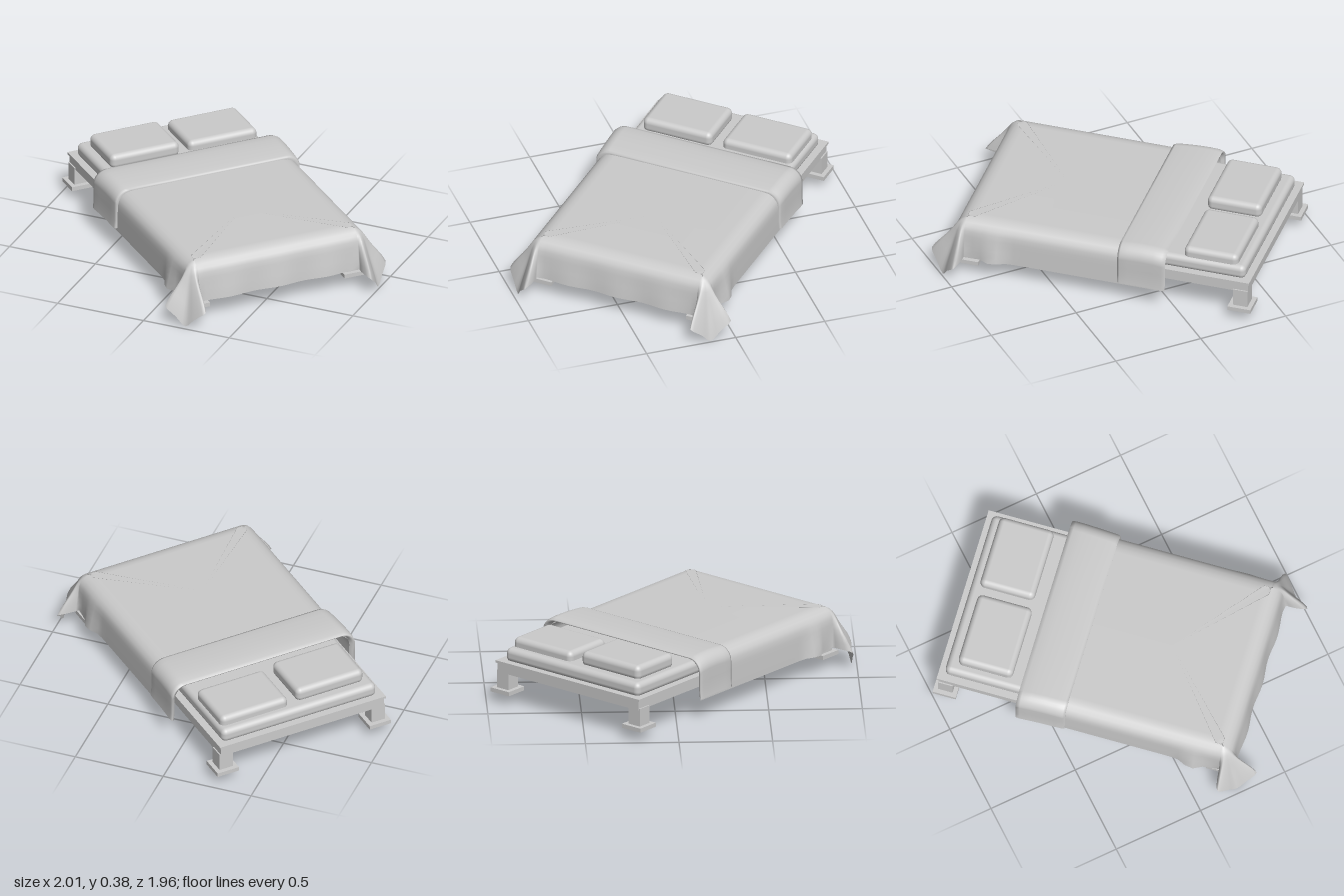
import * as THREE from 'three';
import { RoundedBoxGeometry } from 'three/addons/geometries/RoundedBoxGeometry.js';

const grey = new THREE.MeshStandardMaterial({ color: 0xcccccc });
const cloth = new THREE.MeshStandardMaterial({ color: 0xcccccc, side: THREE.DoubleSide });

// Box given by its limits; a radius makes it rounded
function box(name, [x0, x1], [y0, y1], [z0, z1], radius = 0) {
  const size = [x1 - x0, y1 - y0, z1 - z0];
  const geo = radius ? new RoundedBoxGeometry(...size, 4, radius) : new THREE.BoxGeometry(...size);
  const mesh = new THREE.Mesh(geo, grey);
  mesh.position.set((x0 + x1) / 2, (y0 + y1) / 2, (z0 + z1) / 2);
  mesh.name = name;
  return mesh;
}

// Smooth sheet through rows of points
function sheet(name, rows) {
  const n = rows[0].length, index = [];
  for (let i = 0; i < rows.length - 1; i++) {
    for (let j = 0; j < n - 1; j++) {
      const p = i * n + j;
      index.push(p, p + 1, p + n, p + 1, p + n + 1, p + n);
    }
  }
  const geo = new THREE.BufferGeometry().setFromPoints(rows.flat());
  geo.setIndex(index);
  geo.computeVertexNormals();
  const mesh = new THREE.Mesh(geo, cloth);
  mesh.name = name;
  return mesh;
}

// Blanket: a drop profile swept around both sides and the foot, with gathered corners
function blanket() {
  const head = -0.39, foot = 0.775, half = 0.525, r = 0.06, hemY = 0.11;
  const bump = (v, c, s) => Math.exp(-(((v - c) / s) ** 2));
  // Hem offset around a corner: along the edge, vertical, outwards
  const gather = new THREE.CatmullRomCurve3([
    [0, 0, 0], [-0.05, 0, 0.035], [-0.09, -0.01, 0.085], [-0.04, -0.06, 0.085], [0, -0.11, 0.08],
    [0.04, -0.06, 0.085], [0.09, -0.01, 0.085], [0.05, 0, 0.035], [0, 0, 0],
  ].map(p => new THREE.Vector3(...p)));
  const q = Math.SQRT1_2, stations = [];
  for (let i = 0; i < 24; i++) {
    const x = head + (foot - r - head) * i / 24;
    stations.push({ x, z: half, nx: 0, nz: 1, dx: 0, dy: 0, dz: 0.005 + 0.035 * bump(x, 0.56, 0.05) });
  }
  for (let i = 0; i <= 24; i++) {
    const u = i / 24, ang = u * Math.PI / 2, g = gather.getPoint(u);
    const nx = Math.sin(ang), nz = Math.cos(ang);
    stations.push({
      x: foot - r + r * nx, z: half - r + r * nz, nx, nz,
      dx: (g.z + g.x) * q + 0.02 * u, dy: g.y, dz: (g.z - g.x) * q,
    });
  }
  for (let i = 1; i <= 12; i++) {
    const z = (half - r) * (1 - i / 12);
    stations.push({ x: foot, z, nx: 1, nz: 0, dx: 0.02 + 0.006 * Math.cos(z * 22), dy: 0, dz: 0 });
  }
  const mirrored = stations.slice(0, -1).reverse()
    .map(s => ({ ...s, z: -s.z, nz: -s.nz, dz: -s.dz }));
  // inset, height, share of the hem offset
  const profile = [
    [0.1, 0.334, 0], [0.075, 0.332, 0], [0.05, 0.326, 0], [0.027, 0.313, 0], [0.01, 0.294, 0.02],
    [0.002, 0.27, 0.1], [0, 0.24, 0.24], [0, 0.21, 0.42], [0, 0.18, 0.62], [0, 0.145, 0.84], [0, hemY, 1],
  ];
  const rows = [...stations, ...mirrored].map(s => [
    new THREE.Vector3(Math.min(s.x, 0.3), 0.335, 0),
    ...profile.map(([d, y, w]) => new THREE.Vector3(
      // corners draw their inset in along the diagonal
      s.x - s.nx * d + s.dx * w, y + s.dy * w, s.z - s.nz * d + s.dz * w)),
  ]);
  return sheet('blanket', rows);
}

// Turned-down fold: rounded arch sections along the bed
function fold() {
  // position, half width, top height, hem height
  const sections = [
    [-0.385, 0.525, 0.336, 0.15], [-0.408, 0.535, 0.338, 0.135], [-0.412, 0.548, 0.345, 0.128],
    [-0.39, 0.55, 0.352, 0.128], [-0.34, 0.548, 0.356, 0.13], [-0.27, 0.545, 0.356, 0.13],
    [-0.2, 0.543, 0.352, 0.128], [-0.155, 0.541, 0.348, 0.126], [-0.142, 0.536, 0.344, 0.126],
    [-0.143, 0.524, 0.332, 0.128],
  ];
  const rows = sections.map(([x, half, top, hem]) => {
    const r = 0.075, side = [[half + 0.004, hem], [half, 0.17], [half, 0.22]];
    for (let i = 0; i <= 8; i++) {
      const ang = i / 8 * Math.PI / 2;
      side.push([half - r + r * Math.cos(ang), top - r + r * Math.sin(ang)]);
    }
    side.push([0.22, top]);
    const right = side.map(([z, y]) => new THREE.Vector3(x, y, -z));
    const left = side.map(([z, y]) => new THREE.Vector3(x, y, z)).reverse();
    return [...right, ...left];
  });
  return sheet('blanketFold', rows);
}

export function createModel() {
  const model = new THREE.Group();
  model.name = 'bed';

  // Bed, built lengthwise along x with the head at -x
  const bed = new THREE.Group();
  bed.name = 'bedAssembly';
  bed.rotation.y = -0.737;
  model.add(bed);

  // Frame with a thin rim
  bed.add(box('frame', [-0.858, 0.744], [0.17, 0.224], [-0.49, 0.49]));
  bed.add(box('frameRim', [-0.866, 0.752], [0.222, 0.235], [-0.498, 0.498]));

  // Legs on square feet
  for (const x of [-0.817, 0.703]) {
    for (const z of [-0.457, 0.457]) {
      bed.add(box('leg', [x - 0.04, x + 0.04], [0.08, 0.18], [z - 0.04, z + 0.04]));
      bed.add(box('legFoot', [x - 0.064, x + 0.064], [0.058, 0.081], [z - 0.064, z + 0.064]));
    }
  }

  // Bedding
  bed.add(box('mattress', [-0.832, 0.72], [0.225, 0.305], [-0.463, 0.463], 0.03));
  bed.add(box('leftPillow', [-0.786, -0.484], [0.275, 0.357], [-0.446, -0.044], 0.03));
  bed.add(box('rightPillow', [-0.773, -0.471], [0.292, 0.375], [0.014, 0.416], 0.03));
  bed.add(blanket(), fold());
  return model;
}
